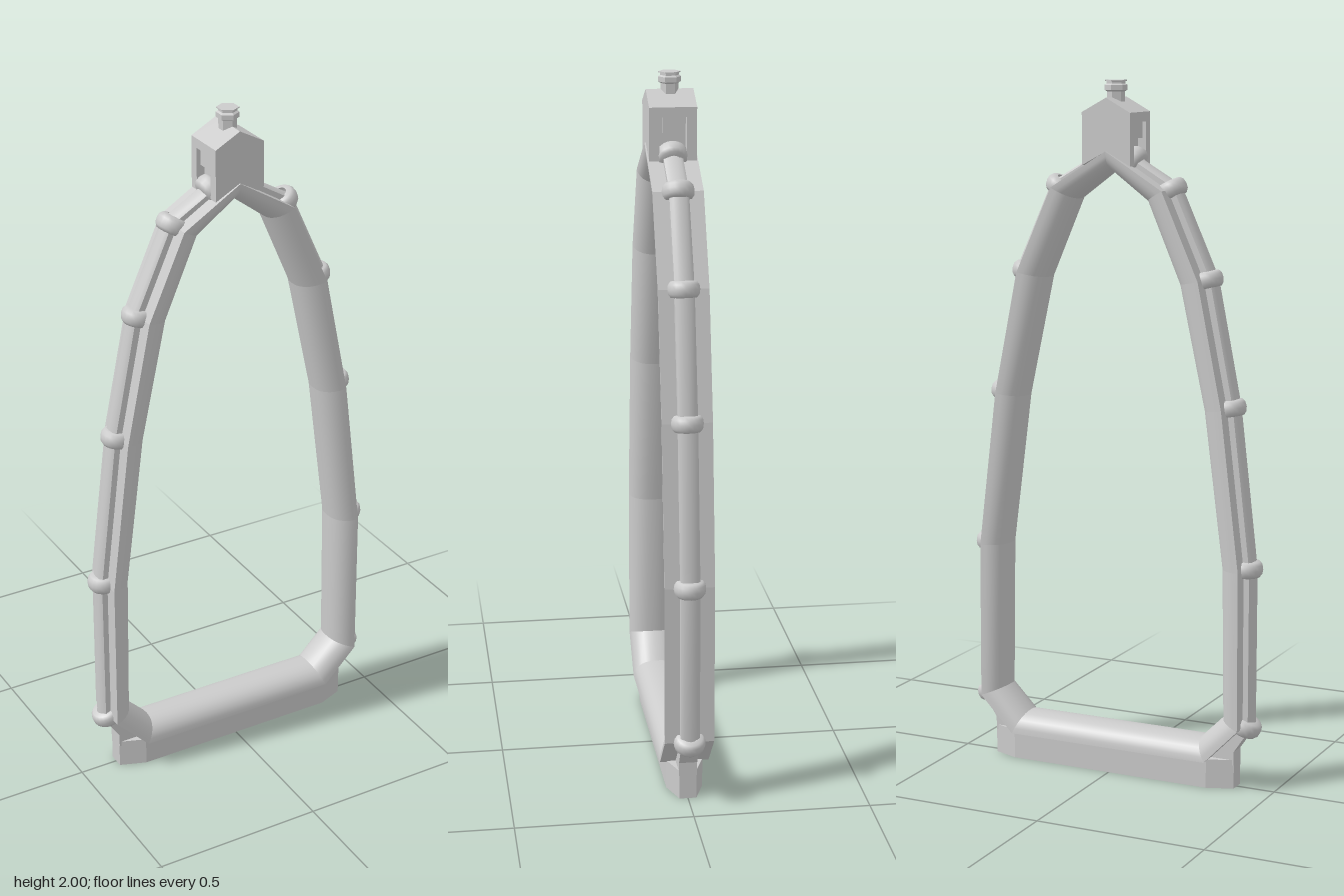
import * as THREE from 'three';
import { mergeGeometries } from 'three/addons/utils/BufferGeometryUtils.js';

const material = new THREE.MeshStandardMaterial({ color: 0xcccccc, side: THREE.DoubleSide });

// Frame stations on the left half: [outer x, outer y, inner x, inner y]
const half = [
  [0.31, 0.08, 0.28, 0.14],
  [0.412, 0.185, 0.35, 0.21],
  [0.41, 0.645, 0.343, 0.645],
  [0.355, 1.1, 0.285, 1.09],
  [0.282, 1.455, 0.208, 1.44],
  [0.172, 1.7, 0.11, 1.667],
];
const apex = [0, 1.805, 0, 1.75];
const mirrored = half.map(([a, b, c, d]) => [-a, b, -c, d]).reverse();

function add(group, name, geometry, x = 0, y = 0, z = 0) {
  const mesh = new THREE.Mesh(geometry, material);
  mesh.name = name;
  mesh.position.set(x, y, z);
  group.add(mesh);
  return mesh;
}

// Sweeps a profile of [t, z] along the stations; t runs from outer (0) to inner (1).
// Each straight run is its own strip, so bends stay crisp.
function sweep(stations, profile) {
  const strips = [];
  for (let i = 0; i < stations.length - 1; i++) {
    const positions = [], index = [];
    for (const [ox, oy, ix, iy] of [stations[i], stations[i + 1]]) {
      for (const [t, z] of profile) positions.push(ox + (ix - ox) * t, oy + (iy - oy) * t, z);
    }
    const n = profile.length;
    for (let j = 0; j < n - 1; j++) index.push(j, j + n, j + 1, j + 1, j + n, j + n + 1);
    const g = new THREE.BufferGeometry();
    g.setAttribute('position', new THREE.Float32BufferAttribute(positions, 3));
    g.setIndex(index);
    g.computeVertexNormals();
    strips.push(g);
  }
  return mergeGeometries(strips);
}

// Flat polygon in x, y extruded between two depths
function slab(points, z0, z1) {
  const shape = new THREE.Shape(points.map(([x, y]) => new THREE.Vector2(x, y)));
  return new THREE.ExtrudeGeometry(shape, { depth: z1 - z0, bevelEnabled: false }).translate(0, 0, z0);
}

export function createModel() {
  const model = new THREE.Group();
  model.name = 'archedFrame';

  // Half-round arched frame with a flat outer face
  const loop = [...half, apex, ...mirrored, half[0]];
  const round = [];
  for (let i = 0; i <= 14; i++) {
    const a = (i / 14) * Math.PI;
    round.push([Math.pow(Math.sin(a), 0.9), 0.07 * Math.sign(Math.cos(a)) * Math.pow(Math.abs(Math.cos(a)), 0.85)]);
  }
  add(model, 'frameInnerRound', sweep(loop, round));
  add(model, 'frameOuterFace', sweep(loop, [[0, -0.07], [0, 0.07]]));

  // Raised rail along the outside of both legs
  const railStations = [...half.slice(1), apex, ...mirrored.slice(0, -1)];
  add(model, 'railSides', sweep(railStations, [[0, -0.027], [-0.25, -0.027]]));
  add(model, 'railSides', sweep(railStations, [[-0.25, 0.027], [0, 0.027]]));
  add(model, 'railCrown', sweep(railStations, [[-0.25, -0.027], [-0.36, -0.018], [-0.4, 0], [-0.36, 0.018], [-0.25, 0.027]]));

  // Rounded collars at each bend of the rail
  const collar = new THREE.LatheGeometry(
    [[0.022, -0.024], [0.036, -0.022], [0.043, -0.013], [0.045, 0], [0.043, 0.013], [0.036, 0.022], [0.022, 0.024]]
      .map(([r, y]) => new THREE.Vector2(r, y)), 20);
  for (const [ox, oy, ix, iy] of [...half.slice(1), ...mirrored.slice(0, -1)]) {
    add(model, 'collar', collar, ox, oy).rotation.z = Math.atan2(oy - iy, ox - ix);
  }

  // Foot: bar with tapered ends, and gussets rising into the rails
  const plan = [[-0.385, -0.024], [-0.31, -0.052], [0.31, -0.052], [0.385, -0.024],
    [0.385, 0.024], [0.31, 0.052], [-0.31, 0.052], [-0.385, 0.024]];
  add(model, 'footBar', slab(plan, 0, 0.085).rotateX(-Math.PI / 2));
  for (const s of [1, -1]) {
    const gusset = [[0.3, 0.07], [0.385, 0.07], [0.385, 0.11], [0.432, 0.18], [0.4, 0.185]].map(([x, y]) => [s * x, y]);
    add(model, 'footGusset', slab(gusset, -0.026, 0.026));
  }

  // Gabled crown block: two cheeks, a roof and a recessed core
  const cheek = [[-0.074, 1.765], [0, 1.805], [0.074, 1.765], [0.074, 1.912], [0, 1.952], [-0.074, 1.912]];
  const roof = [[-0.074, 1.885], [0.074, 1.885], [0.074, 1.912], [0, 1.952], [-0.074, 1.912]];
  const core = [[-0.05, 1.76], [0, 1.79], [0.05, 1.76], [0.05, 1.89], [-0.05, 1.89]];
  add(model, 'crownCheek', slab(cheek, 0.038, 0.066));
  add(model, 'crownCheek', slab(cheek, -0.066, -0.038));
  add(model, 'crownRoof', slab(roof, -0.038, 0.038));
  add(model, 'crownCore', slab(core, -0.038, 0.038));
  for (const s of [1, -1]) {
    add(model, 'crownCollar', collar, s * 0.055, 1.775).rotation.z = Math.PI / 2 - s * 0.53;
    add(model, 'crownPad', new THREE.BoxGeometry(0.03, 0.045, 0.056), s * 0.053, 1.862);
  }

  // Six-sided finial with a grooved head
  const finial = new THREE.LatheGeometry(
    [[0.025, 1.93], [0.025, 1.968], [0.032, 1.972], [0.032, 1.986], [0.026, 1.99], [0.026, 1.996], [0.031, 1.997], [0.031, 2], [0, 2]]
      .map(([r, y]) => new THREE.Vector2(r, y)), 6).toNonIndexed();
  finial.computeVertexNormals();
  add(model, 'finial', finial);

  return model;
}
